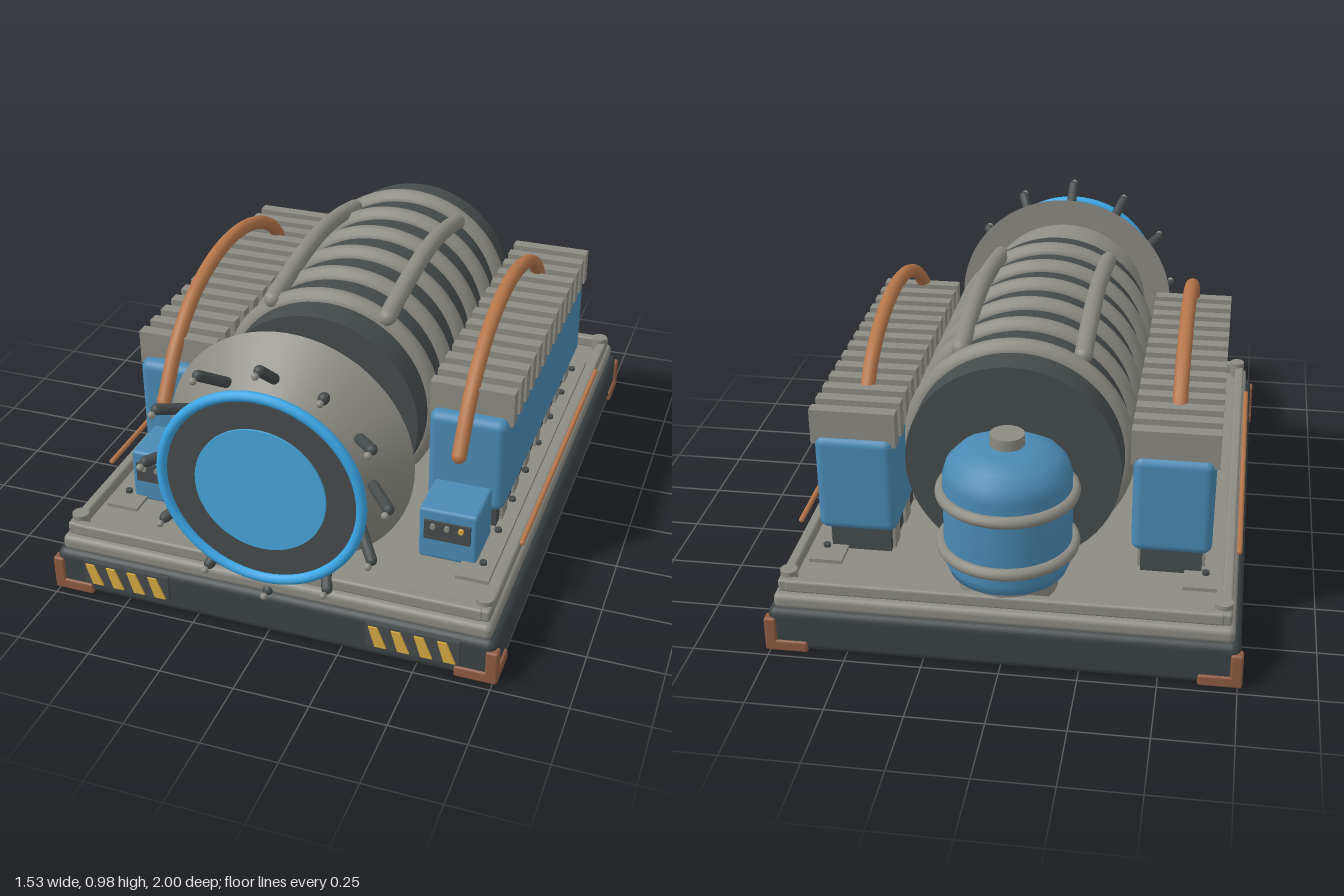
import * as THREE from 'three';
import { RoundedBoxGeometry } from 'three/addons/geometries/RoundedBoxGeometry.js';

const mat = (name, color) => {
  const m = new THREE.MeshStandardMaterial({ color });
  m.name = name;
  return m;
};

export function createModel() {
  const root = new THREE.Group();
  root.name = 'generator';
  const grey = mat('warm grey metal', 0x8c8b83);
  const dark = mat('dark metal', 0x454b4b);
  const black = mat('dark base', 0x3b4244);
  const blue = mat('blue paint', 0x4a8ab4);
  const glow = mat('bright blue', 0x48a6da);
  const ringBlue = mat('vivid blue', 0x3aa6e6);
  const copper = mat('copper', 0xb4754a);
  const brown = mat('brown corner guard', 0x8e5b42);
  const yellow = mat('hazard yellow', 0xd6aa42);

  const add = (name, geo, material, x = 0, y = 0, z = 0, parent = root) => {
    const m = new THREE.Mesh(geo, material);
    m.name = name;
    m.position.set(x, y, z);
    parent.add(m);
    return m;
  };
  const box = (name, w, h, d, material, x, y, z, r = 0) => add(name,
    r ? new RoundedBoxGeometry(w, h, d, 3, r) : new THREE.BoxGeometry(w, h, d), material, x, y, z);
  const cyl = (name, r, h, material, x, y, z) =>
    add(name, new THREE.CylinderGeometry(r, r, h, 24), material, x, y, z);
  const rod = (name, a, b, r, material) => {
    const d = b.clone().sub(a), c = a.clone().add(b).multiplyScalar(0.5);
    const m = add(name, new THREE.CapsuleGeometry(r, d.length() - 2 * r, 4, 12), material, c.x, c.y, c.z);
    m.quaternion.setFromUnitVectors(new THREE.Vector3(0, 1, 0), d.normalize());
    return m;
  };
  const tube = (name, pts, r, material) => {
    const v = pts.map(p => new THREE.Vector3(...p));
    add(name, new THREE.TubeGeometry(new THREE.CatmullRomCurve3(v), 48, r, 12), material);
    for (const p of [v[0], v[v.length - 1]])
      add(name + 'End', new THREE.SphereGeometry(r, 12, 8), material, p.x, p.y, p.z);
  };
  const V = (x, y, z) => new THREE.Vector3(x, y, z);
  const sides = [-1, 1];

  // Base, deck and edge rails
  box('base', 1.51, 0.155, 1.94, black, 0, 0.0785, 0, 0.03);
  box('deck', 1.47, 0.055, 1.91, grey, 0, 0.175, 0, 0.02);
  for (const s of sides) {
    box('sideRail', 0.035, 0.045, 1.86, grey, s * 0.705, 0.221, 0, 0.01);
    box('endRail', 1.4, 0.045, 0.035, grey, 0, 0.221, s * 0.915, 0.01);
    for (const t of sides) {
      cyl('cornerPost', 0.028, 0.06, grey, s * 0.695, 0.23, t * 0.885);
      // Corner guards
      box('cornerGuard', 0.04, 0.115, 0.04, brown, s * 0.745, 0.066, t * 0.957, 0.008);
      box('cornerGuardX', 0.14, 0.04, 0.04, brown, s * 0.695, 0.022, t * 0.957, 0.008);
      box('cornerGuardZ', 0.04, 0.04, 0.14, brown, s * 0.745, 0.022, t * 0.907, 0.008);
    }
  }

  // Hazard stripes on the front edge
  const slant = new THREE.Shape([[-0.03, 0.037], [0, 0.037], [0.03, -0.037], [-0.008, -0.037]]
    .reverse().map(p => new THREE.Vector2(...p)));
  const stripe = new THREE.ExtrudeGeometry(slant, { depth: 0.006, bevelEnabled: false });
  for (const s of sides) {
    box('hazardPlate', 0.305, 0.088, 0.02, dark, s * 0.492, 0.099, 0.975);
    for (let i = 0; i < 4; i++)
      add('hazardStripe', stripe, yellow, s * 0.492 + (i - 1.5) * 0.075, 0.099, 0.985);
  }

  // Main drum with ring coils and bowed top bars
  const cy = 0.565;
  const drum = add('drum', new THREE.CylinderGeometry(0.35, 0.35, 1.157, 64), dark, 0, cy, -0.0885);
  drum.rotation.x = Math.PI / 2;
  for (let i = 0; i < 6; i++)
    add('coilRing', new THREE.TorusGeometry(0.345, 0.038, 12, 64), grey, 0, cy, -0.52 + i * 0.1735);
  for (const s of sides)
    tube('topBar', [[s * 0.2, 0.885, 0.36], [s * 0.2, 0.92, 0.12], [s * 0.2, 0.932, -0.1],
      [s * 0.2, 0.91, -0.3], [s * 0.2, 0.875, -0.46]], 0.03, grey);

  // Neck and flared nozzle, each profile segment kept crisp
  const nozzle = new THREE.Group();
  nozzle.name = 'nozzle';
  nozzle.position.y = cy;
  nozzle.rotation.x = Math.PI / 2;
  root.add(nozzle);
  const profile = [[0.235, 0.48], [0.315, 0.73], [0.415, 0.73], [0.2, 0.97]].map(p => new THREE.Vector2(...p));
  for (let i = 0; i < 3; i++)
    add('nozzleSection', new THREE.LatheGeometry([profile[i], profile[i + 1]], 64), grey, 0, 0, 0, nozzle);
  add('faceDisc', new THREE.CylinderGeometry(0.33, 0.33, 0.012, 64), dark, 0, 0.975, 0, nozzle);
  add('lens', new THREE.CylinderGeometry(0.215, 0.215, 0.008, 64), glow, 0, 0.984, 0, nozzle);
  add('faceRing', new THREE.TorusGeometry(0.328, 0.017, 12, 64), ringBlue, 0, cy, 0.983);

  // Radial pegs with small ball tips
  for (let i = 0; i < 12; i++) {
    const a = i * Math.PI / 6, c = Math.cos(a), s = Math.sin(a);
    rod('peg', V(c * 0.305, cy + s * 0.305, 0.83), V(c * 0.413, cy + s * 0.413, 0.965), 0.018, dark);
    add('pegTip', new THREE.SphereGeometry(0.012, 12, 8), grey, c * 0.402, cy + s * 0.402, 0.987);
  }

  for (const s of sides) {
    // Side cabinets with cooling fins
    const x = s * 0.515;
    box('cabinet', 0.26, 0.34, 1.19, blue, x, 0.468, -0.1, 0.03);
    box('cabinetPlinth', 0.2, 0.12, 1.1, dark, x, 0.25, -0.1);
    for (let i = 0; i < 14; i++)
      box('coolingFin', 0.28, 0.12, 0.044, grey, s * 0.517, 0.67, 0.43 - i * 0.0837);
    for (let i = 0; i < 7; i++)
      box('cabinetFoot', 0.22, 0.1, 0.07, grey, x, 0.25, 0.37 - i * 0.16);

    // Mounting strip with bolts, and the edge pipe
    box('mountStrip', 0.11, 0.014, 1.5, grey, s * 0.615, 0.208, 0);
    for (let i = 0; i < 8; i++) cyl('bolt', 0.012, 0.016, dark, s * 0.63, 0.218, 0.665 - i * 0.19);
    rod('edgePipe', V(s * 0.735, 0.266, 0.59), V(s * 0.735, 0.266, -0.605), 0.009, copper);

    // Arched copper pipes
    tube('archedPipe', [[x, 0.55, 0.58], [x, 0.72, 0.45], [x, 0.84, 0.27], [x, 0.895, 0.02],
      [x, 0.865, -0.22], [x, 0.78, -0.4], [x, 0.65, -0.52]], 0.025, copper);

    // Control boxes
    const bx = s * 0.51;
    box('controlBox', 0.195, 0.19, 0.19, blue, bx, 0.295, 0.575, 0.012);
    box('controlPanel', 0.155, 0.07, 0.012, dark, bx, 0.316, 0.672);
    [grey, grey, yellow].forEach((m, i) => {
      const b = cyl('button', 0.009, 0.012, m, bx + (i - 1) * 0.047, 0.335, 0.682);
      b.rotation.x = Math.PI / 2;
    });
  }

  // Rear tank
  const tz = -0.77;
  const tank = [[0, 0.25], [0.15, 0.25], [0.19, 0.27], [0.205, 0.31], [0.205, 0.6], [0.193, 0.64],
    [0.16, 0.675], [0.1, 0.7], [0, 0.708]].map(p => new THREE.Vector2(...p));
  add('tank', new THREE.LatheGeometry(tank, 48), blue, 0, 0, tz);
  cyl('tankFoot', 0.16, 0.08, grey, 0, 0.23, tz);
  cyl('tankCap', 0.055, 0.045, grey, 0, 0.718, tz);
  for (const y of [0.36, 0.545]) {
    const band = add('tankBand', new THREE.TorusGeometry(0.21, 0.02, 12, 48), grey, 0, y, tz);
    band.rotation.x = Math.PI / 2;
  }
  return root;
}
